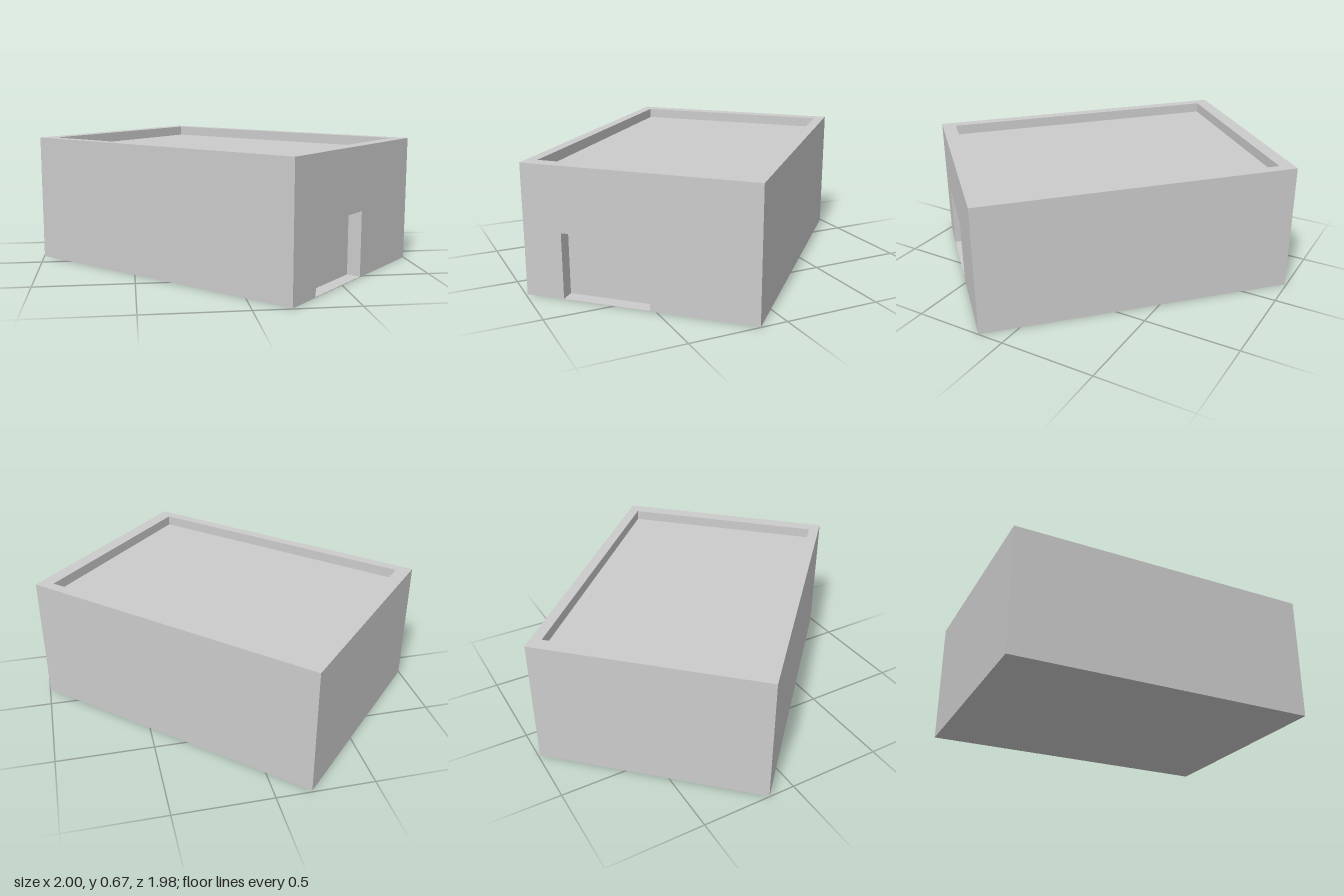
import * as THREE from 'three';

export function createModel() {
  const group = new THREE.Group();
  const material = new THREE.MeshStandardMaterial({ color: 0xcccccc, flatShading: true });

  const W = 1.18, L = 1.635, H = 0.67;   // outer size
  const endT = 0.073, sideT = 0.055;     // wall thicknesses
  const roofY = 0.617;                   // roof deck below the parapet rim
  const door = { x0: -0.39, x1: 0.058, h: 0.34 };

  const house = new THREE.Group();
  house.name = 'house';
  house.rotation.y = THREE.MathUtils.degToRad(46.2);
  group.add(house);

  const add = (name, geometry, x, y, z) => {
    const mesh = new THREE.Mesh(geometry, material);
    mesh.name = name;
    mesh.position.set(x, y, z);
    house.add(mesh);
  };
  const box = (name, w, h, d, x, y0, z) =>
    add(name, new THREE.BoxGeometry(w, h, d), x, y0 + h / 2, z);

  // Front wall with the doorway cut up from the ground
  const outline = new THREE.Shape([
    [-W / 2, 0], [door.x0, 0], [door.x0, door.h], [door.x1, door.h],
    [door.x1, 0], [W / 2, 0], [W / 2, H], [-W / 2, H],
  ].map(([x, y]) => new THREE.Vector2(x, y)));
  add('frontWall', new THREE.ExtrudeGeometry(outline, { depth: endT, bevelEnabled: false }),
    0, 0, L / 2 - endT);

  // Remaining walls, rising past the roof as a parapet
  box('backWall', W, H, endT, 0, 0, -(L - endT) / 2);
  for (const s of [-1, 1]) {
    box(s > 0 ? 'leftWall' : 'rightWall', sideT, H, L - 2 * endT, s * (W - sideT) / 2, 0, 0);
  }

  // Solid core: its top is the flat roof, its front the closed door
  box('roofAndDoorCore', W - 2 * sideT, roofY, L - 2 * endT, 0, 0, 0);

  // Threshold inside the doorway
  box('threshold', door.x1 - door.x0, 0.003, endT, (door.x0 + door.x1) / 2, 0, (L - endT) / 2);

  return group;
}
